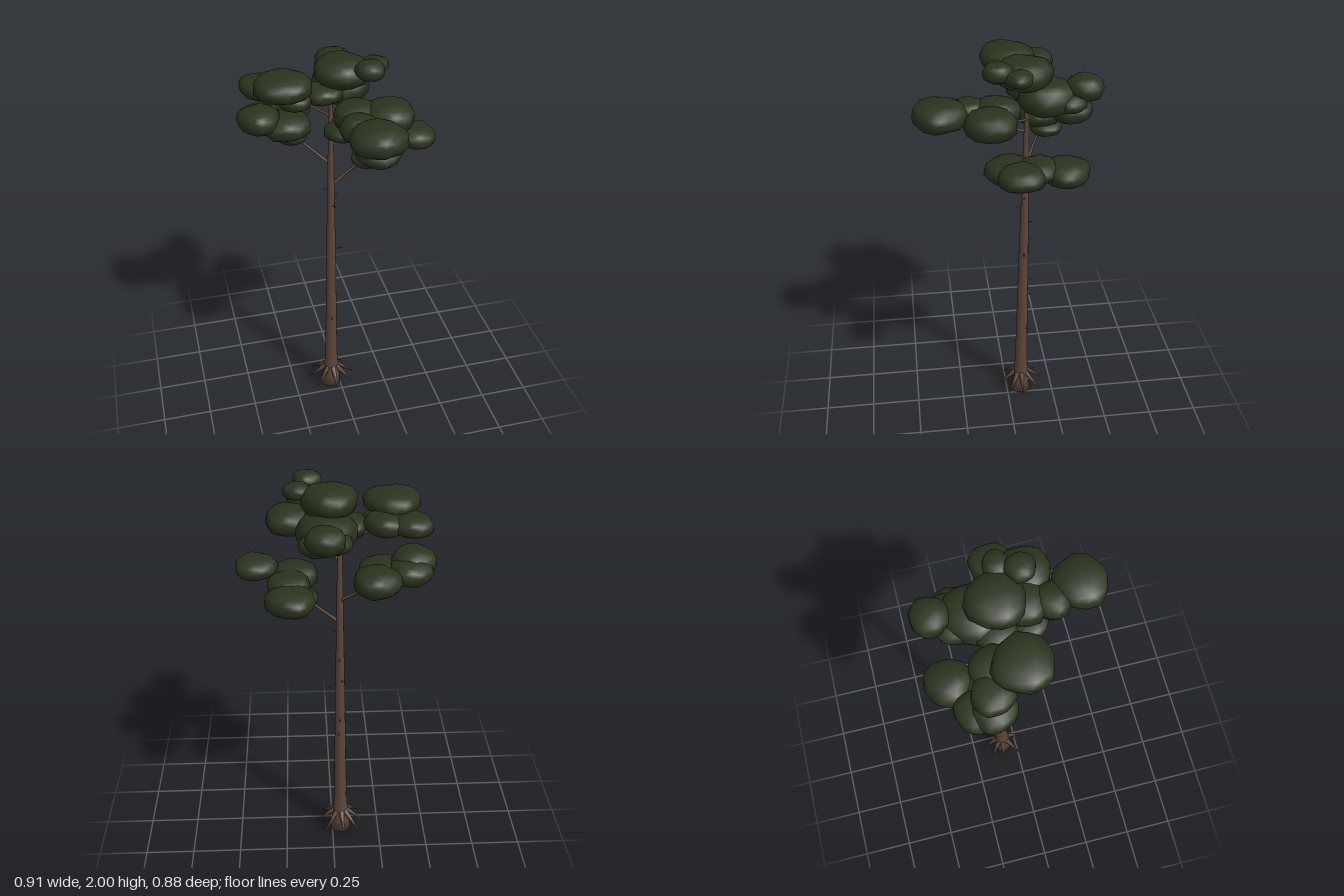
import * as THREE from 'three';
import { mergeVertices } from 'three/addons/utils/BufferGeometryUtils.js';

const bark = new THREE.MeshStandardMaterial({ color: 0x5c463b });
bark.name = 'bark brown';
const needles = new THREE.MeshStandardMaterial({ color: 0x2a331e });
needles.name = 'needle green';

// Seeded random numbers for the irregular foliage
let seed = 7;
const rand = () => (seed = (seed * 16807) % 2147483647) / 2147483647;

// Trunk centre leans slightly with height
const trunkAt = (y) => new THREE.Vector3(-0.045 + 0.007 * y, y, -0.077 - 0.009 * y);

function add(parent, name, geometry, material) {
  const mesh = new THREE.Mesh(geometry, material);
  mesh.name = name;
  parent.add(mesh);
  return mesh;
}

// Tapered limb between two points
function limb(parent, name, a, b, r0, r1, sides = 6) {
  const dir = b.clone().sub(a);
  const mesh = add(parent, name, new THREE.CylinderGeometry(r1, r0, dir.length(), sides), bark);
  mesh.position.copy(a).addScaledVector(dir, 0.5);
  mesh.quaternion.setFromUnitVectors(new THREE.Vector3(0, 1, 0), dir.normalize());
}

// Flattened, irregular pad of foliage with blunt sides
function pad(parent, [x, y, z, r, h]) {
  let geo = new THREE.IcosahedronGeometry(1, 2);
  geo.deleteAttribute('normal');
  geo.deleteAttribute('uv');
  geo = mergeVertices(geo, 1e-4);
  const p = geo.attributes.position;
  const phase = rand() * 6.28;
  const v = new THREE.Vector3();
  for (let i = 0; i < p.count; i++) {
    v.fromBufferAttribute(p, i);
    const a = Math.atan2(v.z, v.x) + phase;
    const blunt = Math.pow(Math.hypot(v.x, v.z) ** 2.6 + Math.abs(v.y) ** 2.6, -1 / 2.6);
    const k = blunt * (0.98 + 0.04 * Math.sin(3 * a) * (1 - v.y * v.y) + 0.09 * (rand() - 0.5));
    p.setXYZ(i, v.x * k * r, v.y * k * h, v.z * k * r);
  }
  geo.computeVertexNormals();
  add(parent, 'foliagePad', geo, needles).position.set(x, y, z);
}

export function createModel() {
  const tree = new THREE.Group();
  tree.name = 'tallPine';

  // Trunk: flared base, long taper
  const profile = [[0, 0], [0.053, 0], [0.046, 0.07], [0.039, 0.14], [0.033, 0.22], [0.03, 0.5],
    [0.024, 0.95], [0.017, 1.35], [0.012, 1.65], [0.005, 1.88]];
  const trunk = new THREE.LatheGeometry(profile.map(([r, y]) => new THREE.Vector2(r, y)), 12);
  const tp = trunk.attributes.position;
  for (let i = 0; i < tp.count; i++) {
    const c = trunkAt(tp.getY(i));
    tp.setXYZ(i, tp.getX(i) + c.x, c.y, tp.getZ(i) + c.z);
  }
  add(tree, 'trunk', trunk, bark);

  // Roots splaying out of the trunk base
  const roots = new THREE.Group();
  roots.name = 'roots';
  tree.add(roots);
  for (let i = 0; i < 8; i++) {
    const a = (i / 8) * Math.PI * 2 + 0.12 * Math.sin(i * 5);
    const len = 0.122 + 0.006 * Math.sin(i * 3);
    const at = (d, y) => trunkAt(y).add(new THREE.Vector3(Math.cos(a) * d, 0, Math.sin(a) * d));
    limb(roots, 'root', at(0.018, 0.135), at(len, 0.047), 0.016, 0.003);
  }

  // Branches: start height on trunk, end point, thickness
  const branches = new THREE.Group();
  branches.name = 'branches';
  tree.add(branches);
  for (const [y, ex, ey, ez, r] of [
    [1.3, 0.16, 1.46, -0.08, 0.009], [1.42, -0.22, 1.57, -0.2, 0.009],
    [1.6, 0.03, 1.7, 0.14, 0.008], [1.68, -0.24, 1.82, -0.07, 0.007],
    [1.66, 0.04, 1.82, -0.32, 0.007], [1.66, 0.18, 1.74, 0.08, 0.007],
  ]) limb(branches, 'branch', trunkAt(y), new THREE.Vector3(ex, ey, ez), r, r * 0.5);

  // Dead twig stubs: height, direction angle, length
  const twigs = new THREE.Group();
  twigs.name = 'twigs';
  tree.add(twigs);
  for (const [y, a, len] of [
    [1.285, 3.0, 0.045], [1.245, 0.3, 0.035], [1.19, 1.2, 0.05], [1.1, -1.4, 0.04],
    [0.98, -1.9, 0.042], [0.92, 0.1, 0.06], [0.745, -1.5, 0.047], [0.655, -1.3, 0.045],
    [0.485, 1.7, 0.05], [0.435, -0.7, 0.05],
  ]) {
    const end = trunkAt(y).add(new THREE.Vector3(Math.cos(a) * len, 0.003, Math.sin(a) * len));
    limb(twigs, 'twig', trunkAt(y), end, 0.004, 0.002, 5);
  }

  // Foliage clusters: x, y, z, radius, half height
  const clusters = {
    crownFoliage: [
      [0.015, 1.91, -0.07, 0.132, 0.068], [0.11, 1.957, 0.06, 0.068, 0.043],
      [0.155, 1.94, -0.03, 0.064, 0.036], [0.03, 1.8, -0.17, 0.138, 0.08],
      [-0.07, 1.8, -0.09, 0.095, 0.045],
    ],
    backFoliage: [
      [0.04, 1.84, -0.345, 0.09, 0.058], [0.07, 1.785, -0.27, 0.085, 0.045],
      [0.0, 1.79, -0.25, 0.088, 0.045],
    ],
    frontFoliage: [
      [0.078, 1.757, 0.318, 0.13, 0.066], [0.03, 1.745, 0.18, 0.09, 0.06],
      [0.19, 1.75, 0.1, 0.12, 0.065], [0.05, 1.745, 0.06, 0.11, 0.065],
      [-0.015, 1.68, 0.07, 0.088, 0.038],
    ],
    upperRightFoliage: [
      [-0.27, 1.885, -0.025, 0.133, 0.058], [-0.35, 1.83, -0.17, 0.095, 0.048],
      [-0.24, 1.83, -0.14, 0.105, 0.05], [-0.21, 1.8, -0.04, 0.075, 0.042],
    ],
    lowerRightFoliage: [
      [-0.36, 1.66, -0.17, 0.103, 0.06], [-0.185, 1.635, -0.33, 0.108, 0.062],
      [-0.34, 1.64, -0.24, 0.102, 0.055], [-0.23, 1.61, -0.18, 0.12, 0.06],
      [-0.2, 1.54, -0.21, 0.08, 0.038],
    ],
    lowerLeftFoliage: [
      [0.355, 1.568, -0.015, 0.104, 0.05], [0.175, 1.51, 0.015, 0.115, 0.055],
      [0.195, 1.5, -0.24, 0.117, 0.058], [0.2, 1.52, -0.11, 0.1, 0.05],
      [0.145, 1.435, -0.08, 0.08, 0.036],
    ],
  };
  for (const [name, pads] of Object.entries(clusters)) {
    const group = new THREE.Group();
    group.name = name;
    tree.add(group);
    pads.forEach((d) => pad(group, d));
  }
  return tree;
}
